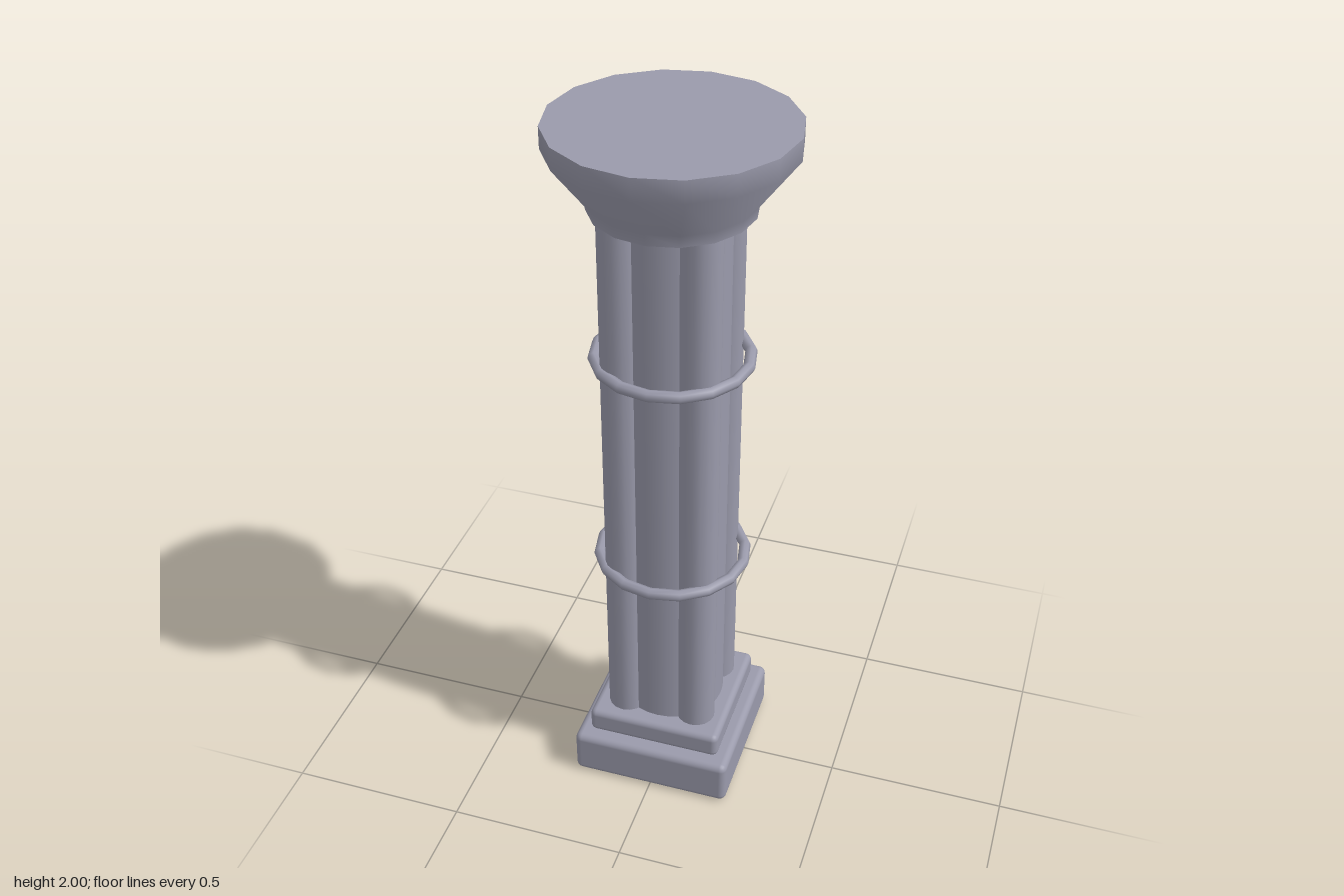
import * as THREE from 'three';
import { toCreasedNormals } from 'three/addons/utils/BufferGeometryUtils.js';
import { RoundedBoxGeometry } from 'three/addons/geometries/RoundedBoxGeometry.js';

export function createModel() {
  const group = new THREE.Group();
  const stone = new THREE.MeshStandardMaterial({ color: 0x9a9aab });
  stone.name = 'greyStone';

  const add = (name, geometry, x = 0, y = 0, z = 0) => {
    const mesh = new THREE.Mesh(geometry, stone);
    mesh.name = name;
    mesh.position.set(x, y, z);
    group.add(mesh);
    return mesh;
  };

  // Stepped square base with softened edges
  add('plinth', new RoundedBoxGeometry(0.462, 0.136, 0.462, 3, 0.02), 0, 0.068, 0);
  add('upperPlinth', new RoundedBoxGeometry(0.388, 0.076, 0.388, 3, 0.018), 0, 0.174, 0);

  // Shaft: a round core with a slimmer column at each corner
  const bottom = 0.19, top = 1.79, height = top - bottom, middle = (top + bottom) / 2;
  add('shaftCore', new THREE.CylinderGeometry(0.15, 0.15, height, 32), 0, middle, 0);
  for (const x of [-0.104, 0.104]) {
    for (const z of [-0.104, 0.104]) {
      add('cornerColumn', new THREE.CylinderGeometry(0.055, 0.055, height, 16), x, middle, z);
    }
  }

  // Thin bands around the shaft
  for (const y of [0.72, 1.36]) {
    add('band', new THREE.TorusGeometry(0.204, 0.016, 8, 16), 0, y, 0).rotation.x = Math.PI / 2;
  }

  // Flared sixteen-sided capital
  const profile = [[0, 1.78], [0.212, 1.78], [0.217, 1.812], [0.315, 1.942], [0.315, 2], [0, 2]]
    .map(([r, y]) => new THREE.Vector2(r, y));
  add('capital', toCreasedNormals(new THREE.LatheGeometry(profile, 16), 0.9));

  return group;
}
